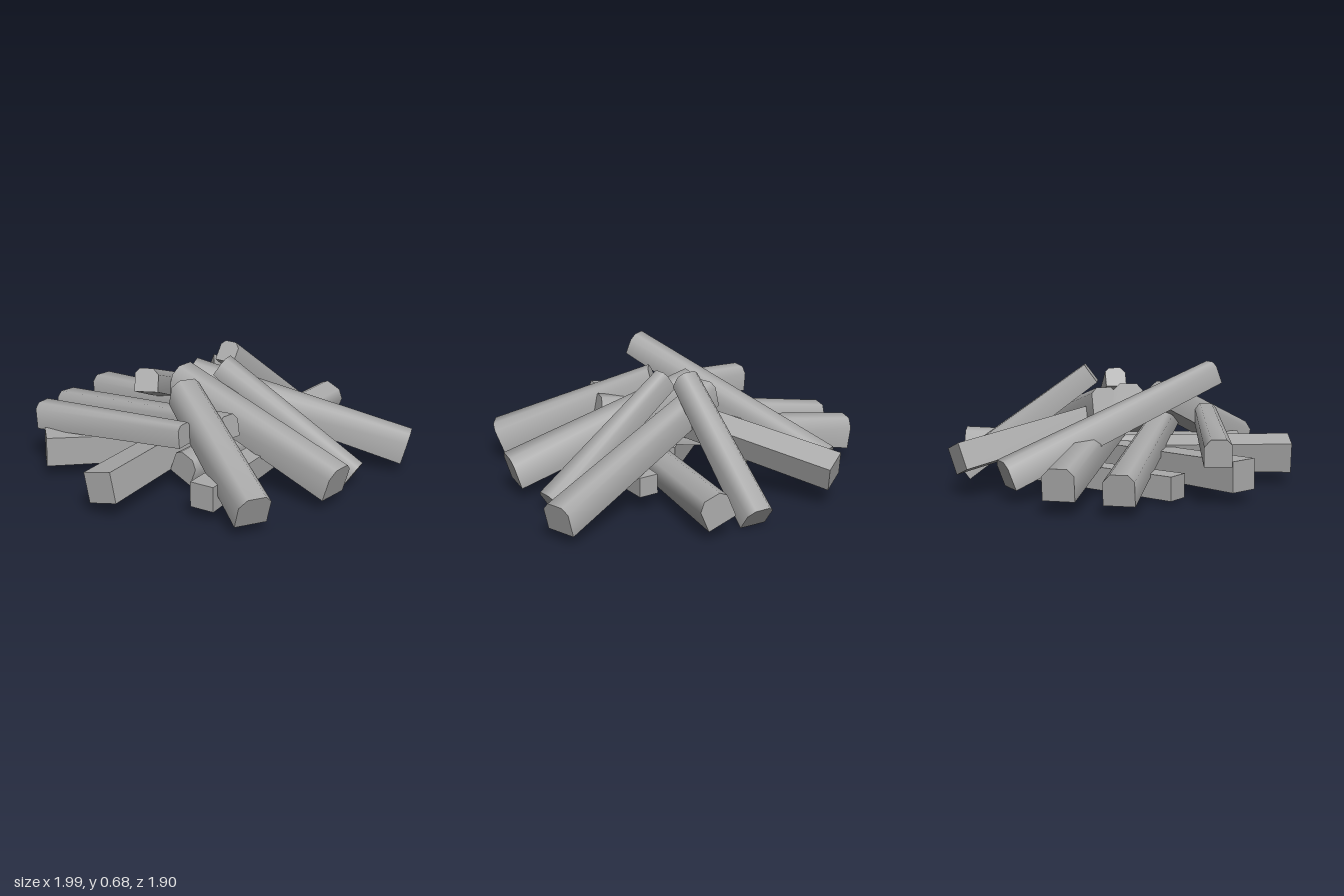
import * as THREE from 'three';
import { toCreasedNormals } from 'three/addons/utils/BufferGeometryUtils.js';

// Cross-sections of one unit: a split square log, and one with a rounded bark side
const SQUARE = [[-0.5, -0.5], [0.5, -0.5], [0.5, 0.5], [-0.5, 0.5]];
const BARK = [[-0.5, -0.5], [0.5, -0.5], [0.5, 0.24], [0.26, 0.5], [-0.3, 0.5], [-0.5, 0.3]];

// Log running from end a to end b, tapering from size sa to size sb
function makeLog(name, material, section, a, b, sa, sb, rollDeg = 0) {
  const start = new THREE.Vector3(...a);
  const end = new THREE.Vector3(...b);
  const shape = new THREE.Shape(section.map(([x, y]) => new THREE.Vector2(x, y)));
  let geometry = new THREE.ExtrudeGeometry(shape, { depth: 1, bevelEnabled: false });
  const p = geometry.attributes.position;
  const length = start.distanceTo(end);
  for (let i = 0; i < p.count; i++) {
    const t = p.getZ(i);
    const s = sa + (sb - sa) * t;
    p.setXYZ(i, p.getX(i) * s, p.getY(i) * s, t * length);
  }
  geometry = toCreasedNormals(geometry, 0.9);
  const mesh = new THREE.Mesh(geometry, material);
  mesh.name = name;
  mesh.position.copy(start);
  mesh.lookAt(end);
  mesh.rotateZ(THREE.MathUtils.degToRad(rollDeg));
  return mesh;
}

export function createModel() {
  const group = new THREE.Group();
  group.name = 'firewoodPile';
  const wood = new THREE.MeshStandardMaterial({ color: 0xaaaaaa });
  wood.name = 'greyWood';

  // Lower layer, lying flat
  const lower = [
    [SQUARE, [-0.585, 0.10, 0.36], [-0.095, 0.11, -0.56], 0.13, 0.12],
    [SQUARE, [-0.555, 0.165, 0.70], [0.13, 0.145, -0.11], 0.165, 0.15],
    [SQUARE, [0.52, 0.15, 0.625], [0.365, 0.165, -0.47], 0.14, 0.11],
    [BARK, [0.195, 0.185, -0.945], [0.2, 0.155, 0.4], 0.165, 0.15, -22],
    [SQUARE, [0.09, 0.18, 0.93], [-0.04, 0.18, 0.08], 0.17, 0.16, -12],
  ];

  // Middle layer, resting on the lower logs
  const middle = [
    [BARK, [-0.985, 0.175, -0.205], [0.15, 0.32, -0.08], 0.17, 0.14],
    [BARK, [-0.985, 0.155, 0.1], [0.375, 0.38, 0.225], 0.165, 0.13],
    [SQUARE, [-0.56, 0.22, -0.82], [0.02, 0.38, -0.13], 0.15, 0.14, -20],
    [BARK, [-0.69, 0.3, 0.575], [0.25, 0.37, 0.445], 0.145, 0.12],
  ];

  // Upper layer, leaning towards the peak
  const upper = [
    [BARK, [-0.66, 0.16, -0.54], [0.03, 0.64, 0.5], 0.16, 0.125],
    [BARK, [-0.055, 0.085, -0.91], [0.02, 0.625, -0.185], 0.15, 0.12],
    [BARK, [0.94, 0.155, -0.645], [-0.155, 0.49, -0.08], 0.17, 0.15],
    [BARK, [0.845, 0.075, -0.265], [0.09, 0.595, -0.055], 0.14, 0.115],
    [BARK, [0.955, 0.165, 0.045], [-0.13, 0.5, 0.045], 0.18, 0.17],
    [BARK, [0.84, 0.155, 0.6], [0.04, 0.5, 0.21], 0.18, 0.16],
  ];

  const layers = { lowerLog: lower, middleLog: middle, upperLog: upper };
  for (const [name, logs] of Object.entries(layers)) {
    logs.forEach(([section, ...rest], i) => {
      group.add(makeLog(`${name}${i + 1}`, wood, section, ...rest));
    });
  }
  return group;
}
